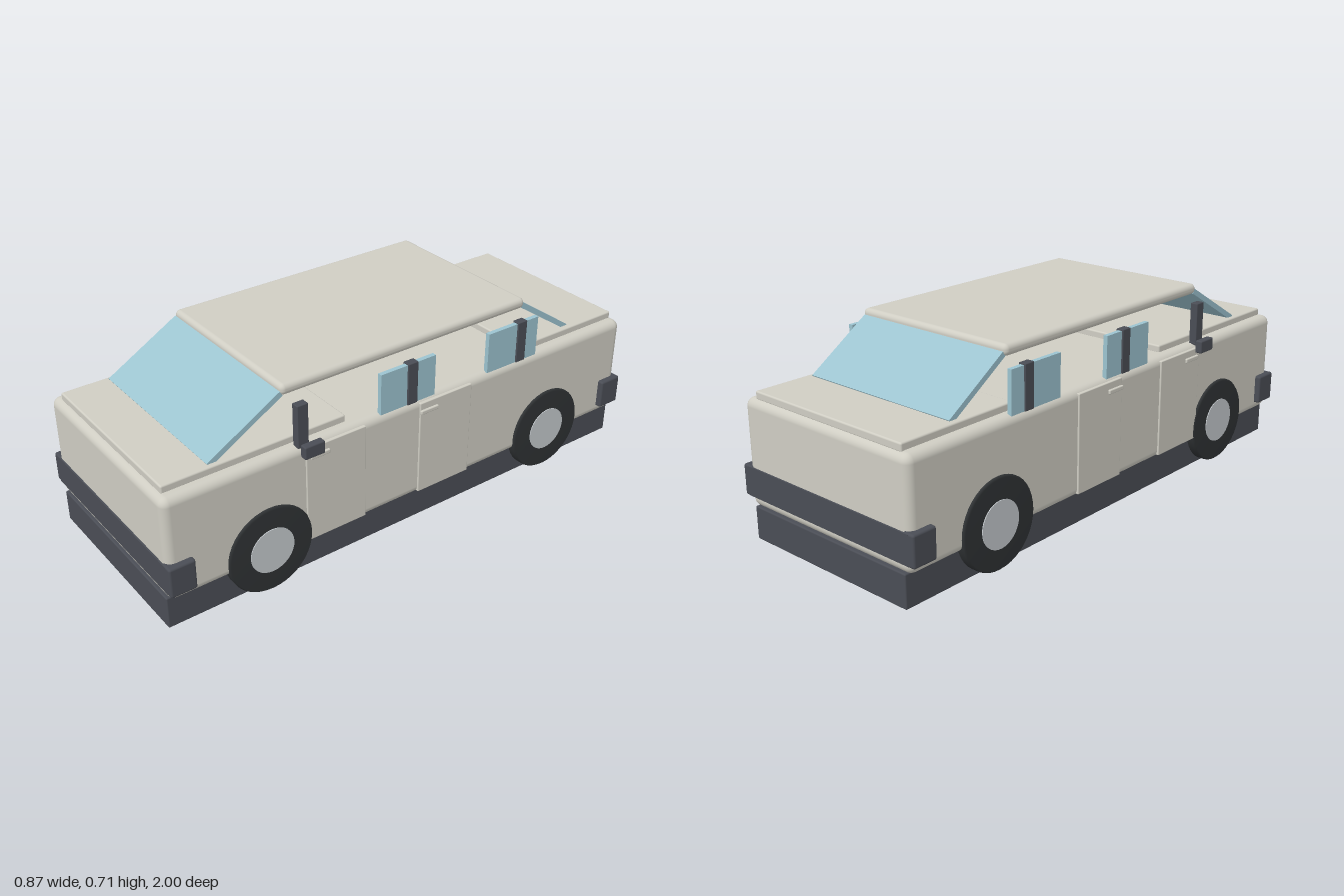
import * as THREE from 'three';
import { RoundedBoxGeometry } from 'three/addons/geometries/RoundedBoxGeometry.js';

const material = (color) => new THREE.MeshStandardMaterial({ color });

export function createModel() {
  const car = new THREE.Group();
  car.name = 'car';
  const paint = material(0xcfcdc3);
  const dark = material(0x4a4d55);
  const glass = material(0x9cc3cf);
  const rubber = material(0x2f3234);
  const metal = material(0xc4c9cd);

  function add(name, geometry, mat, x = 0, y = 0, z = 0) {
    const mesh = new THREE.Mesh(geometry, mat);
    mesh.name = name;
    mesh.position.set(x, y, z);
    car.add(mesh);
    return mesh;
  }

  // Box given by its limits on each axis; r rounds the edges
  function block(name, mat, [x0, x1], [y0, y1], [z0, z1], r = 0) {
    const size = [x1 - x0, y1 - y0, z1 - z0];
    const geometry = r ? new RoundedBoxGeometry(...size, 4, r) : new THREE.BoxGeometry(...size);
    return add(name, geometry, mat, (x0 + x1) / 2, (y0 + y1) / 2, (z0 + z1) / 2);
  }

  // Same block on both sides of the car
  function pair(name, mat, [x0, x1], y, z, r = 0) {
    block(name + 'Left', mat, [x0, x1], y, z, r);
    block(name + 'Right', mat, [-x1, -x0], y, z, r);
  }

  // Sloping pane between two (y, z) points
  function pane(name, halfWidth, [y0, z0], [y1, z1]) {
    const length = Math.hypot(y1 - y0, z1 - z0);
    const mesh = add(name, new THREE.BoxGeometry(halfWidth * 2, 0.02, length), glass,
      0, (y0 + y1) / 2, (z0 + z1) / 2);
    mesh.rotation.x = Math.atan2(y0 - y1, z1 - z0);
    return mesh;
  }

  // Main shell, lower chassis, hood, trunk lid and roof
  block('body', paint, [-0.388, 0.388], [0.12, 0.505], [-0.994, 0.994], 0.03);
  block('chassis', dark, [-0.365, 0.365], [0.005, 0.125], [-0.997, 0.997], 0.005);
  block('hood', paint, [-0.345, 0.345], [0.5, 0.53], [0.285, 0.97], 0.006);
  block('trunkLid', paint, [-0.345, 0.345], [0.5, 0.53], [-0.975, -0.5], 0.006);
  block('roof', paint, [-0.335, 0.335], [0.675, 0.715], [-0.52, 0.525], 0.018);

  // Windshield and rear window
  pane('windshield', 0.328, [0.525, 0.795], [0.685, 0.52]);
  pane('rearWindow', 0.324, [0.685, -0.515], [0.525, -0.755]);

  // Bumpers with corner guards
  for (const [end, s] of [['front', 1], ['rear', -1]]) {
    const span = (a, b) => (s > 0 ? [a, b] : [-b, -a]);
    block(end + 'Bumper', dark, [-0.385, 0.385], [0.158, 0.263], span(0.94, 1));
    pair(end + 'BumperCorner', dark, [0.362, 0.41], [0.155, 0.267], span(0.905, 1), 0.008);
  }

  // Pillars and side windows
  for (const z of [0.48, 0.033, -0.465])
    pair('pillar', dark, [0.357, 0.387], [0.5, 0.658], [z - 0.021, z + 0.021], 0.003);
  for (const [z0, z1] of [[-0.068, 0.165], [-0.545, -0.31]])
    pair('sideWindow', glass, [0.364, 0.381], [0.5, 0.653], [z0, z1]);

  // Door panels and handles
  for (const [z0, z1] of [[0.235, 0.475], [-0.228, 0.003]])
    pair('door', paint, [0.38, 0.394], [0.13, 0.492], [z0, z1], 0.003);
  for (const z of [0.423, -0.035])
    pair('doorHandle', paint, [0.388, 0.402], [0.45, 0.466], [z - 0.038, z + 0.038], 0.004);

  // Wing mirrors on short arms
  pair('mirror', dark, [0.405, 0.433], [0.483, 0.53], [0.428, 0.505], 0.005);
  for (const s of [1, -1]) {
    const arm = add('mirrorArm', new THREE.CylinderGeometry(0.007, 0.007, 0.055, 12), dark, s * 0.388, 0.503, 0.465);
    arm.rotation.z = s * (Math.PI / 2 - 0.2);
  }

  // Wheels with bevelled tyres and flat hubs
  const tyreProfile = [[0, -0.055], [0.156, -0.055], [0.162, -0.048], [0.162, 0.048], [0.156, 0.055], [0, 0.055]]
    .map(([r, y]) => new THREE.Vector2(r, y));
  const tyre = new THREE.LatheGeometry(tyreProfile, 40);
  const hub = new THREE.CylinderGeometry(0.084, 0.084, 0.112, 32);
  for (const s of [1, -1]) {
    for (const z of [0.62, -0.62]) {
      add('tyre', tyre, rubber, s * 0.344, 0.163, z).rotation.z = Math.PI / 2;
      add('hub', hub, metal, s * 0.346, 0.163, z).rotation.z = Math.PI / 2;
    }
  }
  return car;
}
